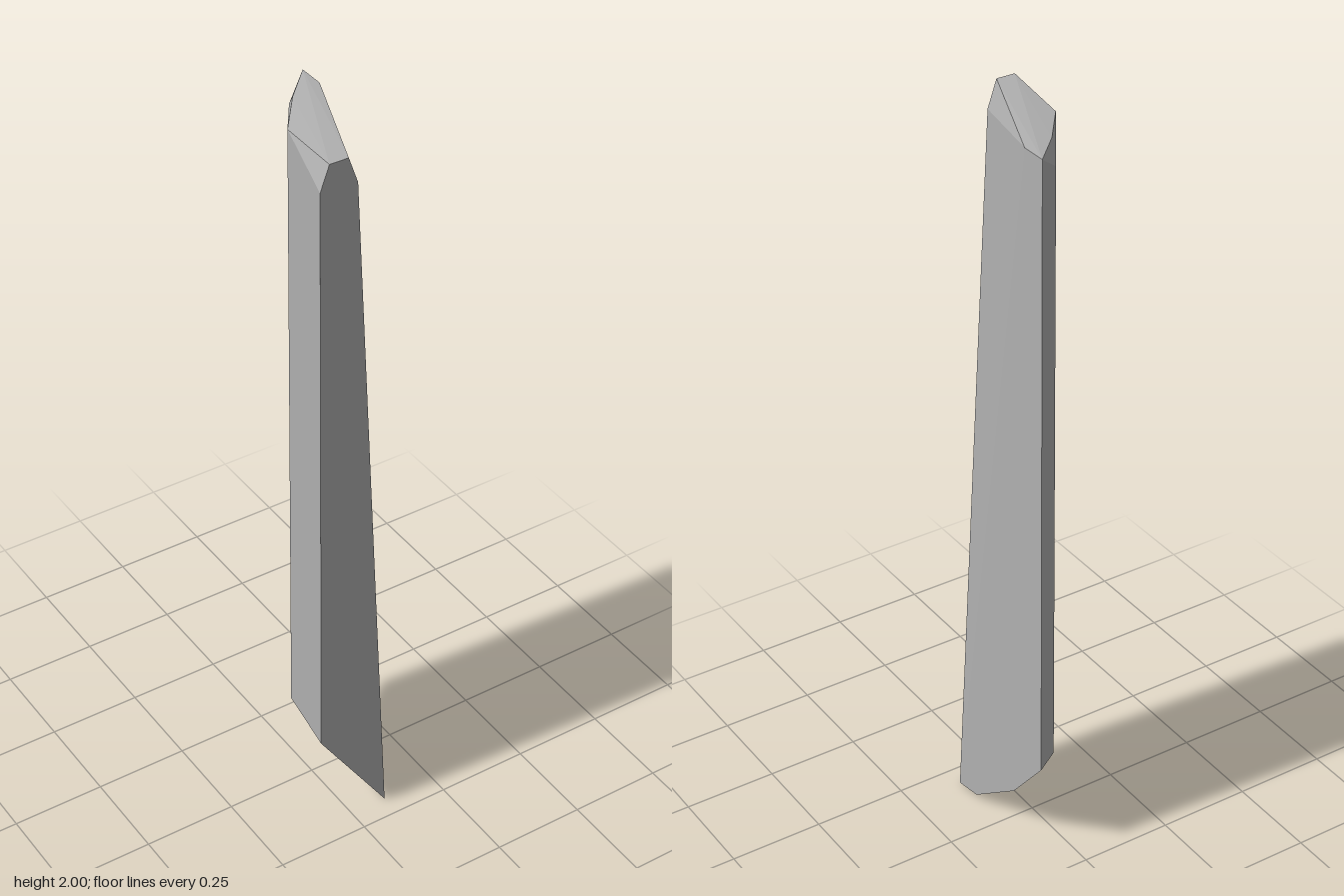
import * as THREE from 'three';
import { ConvexGeometry } from 'three/addons/geometries/ConvexGeometry.js';

export function createModel() {
  const stone = new THREE.MeshStandardMaterial({ color: 0xb0b0b0 });
  stone.name = 'greyStone';

  // Flat front cut, from the top bevel down to the pointed tip
  const front = [
    [-0.08, 2, 0.193], [-0.03, 2, 0.193], [-0.005, 1.93, 0.193],
    [0.102, 0, 0.193], [-0.097, 0.3, 0.193], [-0.104, 1.935, 0.193],
  ];
  // Slightly sloping crown
  const crown = [
    [0.102, 1.99, -0.125], [0.102, 1.99, -0.195],
    [0.02, 1.987, -0.11], [-0.064, 1.985, 0], [0.039, 1.94, -0.155],
  ];
  // Lower ends of the long back facets
  const shoulder = [[0.102, 0.3, -0.195], [0.036, 0.3, -0.153], [-0.063, 0.29, 0]];
  // Curved lower edge of the flat side
  const keel = [[0.102, 0.15, -0.07], [0.102, 0.015, 0.11]];

  const points = [...front, ...crown, ...shoulder, ...keel]
    .map((p) => new THREE.Vector3(...p));
  const shard = new THREE.Mesh(new ConvexGeometry(points), stone);
  shard.name = 'crystalShard';

  const group = new THREE.Group();
  group.name = 'shard';
  group.add(shard);
  return group;
}
